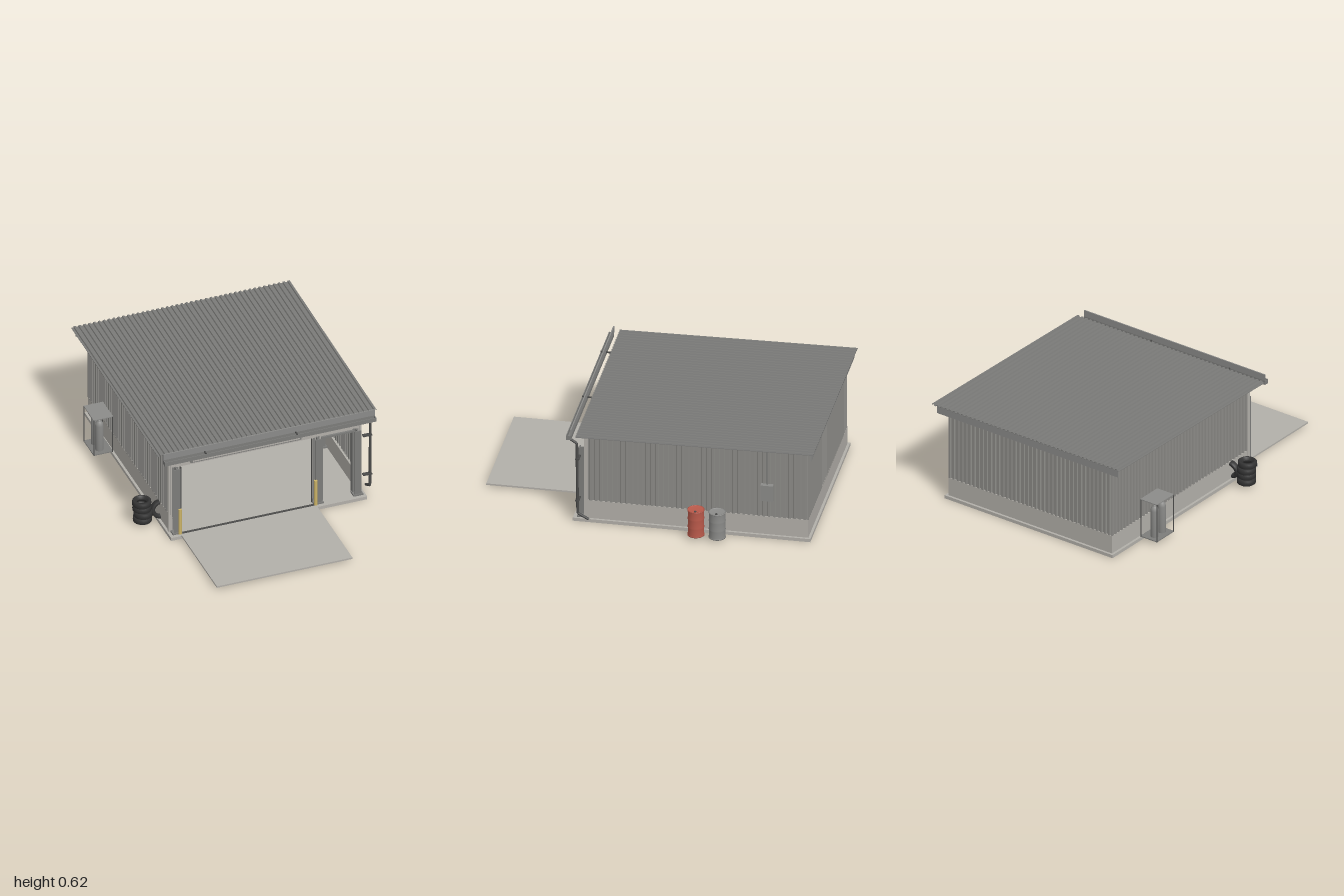
import * as THREE from 'three';

const mat = (name, color, extra = {}) => {
  const m = new THREE.MeshStandardMaterial({ color, ...extra });
  m.name = name;
  return m;
};

export function createModel() {
  const root = new THREE.Group();
  root.name = 'workshop';
  const concrete = mat('concrete', 0xb2afa9);
  const sheet = mat('wall sheet', 0x8c8b87);
  const roofing = mat('roof sheet', 0x7a7a78);
  const steel = mat('steel', 0x7c7c7a);
  const dark = mat('dark steel', 0x4b4b4a);
  const rubber = mat('rubber', 0x333333);
  const red = mat('red paint', 0xb9594a);
  const yellow = mat('yellow paint', 0xccb468);
  const grey = mat('grey paint', 0x8b8b89);

  const add = (name, geo, m, parent = root) => {
    const mesh = new THREE.Mesh(geo, m);
    mesh.name = name;
    parent.add(mesh);
    return mesh;
  };
  // box given by its limits on each axis
  const box = (name, m, x0, x1, y0, y1, z0, z1, parent) => {
    const b = add(name, new THREE.BoxGeometry(x1 - x0, y1 - y0, z1 - z0), m, parent);
    b.position.set((x0 + x1) / 2, (y0 + y1) / 2, (z0 + z1) / 2);
    return b;
  };
  const rod = (name, m, r, x, y0, y1, z, parent, sides = 12) => {
    const c = add(name, new THREE.CylinderGeometry(r, r, y1 - y0, sides), m, parent);
    c.position.set(x, (y0 + y1) / 2, z);
    return c;
  };
  // trapezoidal sheet: profile across x, ribs running along z
  const ribbed = (width, length, pitch, depth) => {
    const n = Math.round(width / pitch), p = width / n, pts = [];
    for (let i = 0; i < n; i++) {
      const x = -width / 2 + i * p;
      pts.push([x, 0], [x + p * 0.4, 0], [x + p * 0.5, depth], [x + p * 0.9, depth]);
    }
    pts.push([width / 2, 0]);
    const back = pts.map(([x, y]) => [x, y - 0.003]).reverse();
    const shape = new THREE.Shape([...pts, ...back].map(([x, y]) => new THREE.Vector2(x, y)));
    return new THREE.ExtrudeGeometry(shape, { depth: length, bevelEnabled: false });
  };

  // slab and entrance apron
  const L = -0.585, R = 0.6, F = 0.365, B = -0.955;
  box('floorSlab', concrete, -0.6, 0.615, 0, 0.02, -0.97, 0.43);
  box('apron', concrete, -0.535, 0.305, 0.015, 0.025, 0.43, 1);
  box('thresholdStrip', dark, -0.53, 0.31, 0.02, 0.023, 0.395, 0.41);

  // low concrete walls
  const t = 0.02, top = 0.135;
  box('leftBaseWall', concrete, L, L + t, 0.02, top, B, F);
  box('rightBaseWall', concrete, R - t, R, 0.02, top, B, F);
  box('backBaseWall', concrete, L + t, R - t, 0.02, top, B, B + t);

  // ribbed wall cladding
  const cladding = (name, width, x, z, turn) => {
    const g = ribbed(width, 0.565 - top, 0.03, 0.008);
    g.rotateX(-Math.PI / 2);
    const w = add(name, g, sheet);
    w.position.set(x, top, z);
    w.rotation.y = turn;
  };
  cladding('leftCladding', F - B, L + 0.006, (F + B) / 2, Math.PI / 2);
  cladding('rightCladding', F - B, R - 0.006, (F + B) / 2, -Math.PI / 2);
  cladding('backCladding', R - L, (L + R) / 2, B + 0.006, 0);

  // front wall with vehicle opening and doorway
  box('frontHeader', concrete, -0.59, 0.605, 0.46, 0.57, F - 0.02, F);
  box('leftPier', concrete, -0.59, -0.545, 0.02, 0.46, F - 0.02, F);
  box('middlePier', concrete, 0.315, 0.352, 0.02, 0.46, F - 0.02, F);
  box('rightPier', concrete, 0.56, 0.605, 0.02, 0.46, F - 0.02, F);
  box('signFrame', steel, -0.455, 0.23, 0.472, 0.55, F, F + 0.008);
  box('signPanel', concrete, -0.445, 0.22, 0.48, 0.545, F + 0.006, F + 0.012);
  for (const x of [0.352, 0.545]) box('doorJamb', steel, x, x + 0.01, 0.02, 0.455, F - 0.025, F + 0.008);
  box('doorLintel', steel, 0.352, 0.555, 0.445, 0.457, F - 0.025, F + 0.008);

  // I-section columns, flanges facing front and back
  const column = (x, z, y1) => {
    const g = new THREE.Group();
    g.name = 'column';
    root.add(g);
    for (const s of [-1, 1]) box('flange', steel, x - 0.02, x + 0.02, 0.02, y1, z + s * 0.018 - 0.003, z + s * 0.018 + 0.003, g);
    box('web', steel, x - 0.003, x + 0.003, 0.02, y1, z - 0.018, z + 0.018, g);
    box('basePlate', steel, x - 0.03, x + 0.03, 0.02, 0.03, z - 0.027, z + 0.027, g);
  };
  for (const x of [-0.55, 0.325, 0.57]) column(x, F + 0.015, 0.465);
  for (const z of [-0.15, -0.55, -0.92]) {
    for (const x of [L + 0.05, R - 0.05]) column(x, z, 0.55);
    box('rafter', steel, L + 0.01, R - 0.01, 0.53, 0.575, z - 0.012, z + 0.012);
  }
  // yellow guards beside the vehicle opening
  for (const x of [-0.535, 0.305]) rod('guardPost', yellow, 0.01, x, 0.02, 0.19, 0.405);
  for (const x of [-0.522, 0.292]) box('openingTrim', dark, x, x + 0.006, 0.02, 0.46, F, F + 0.01);

  // roof, purlins and edge boards
  const roof = add('roof', ribbed(1.355, 1.4, 0.03, 0.008), roofing);
  roof.position.set(0.0075, 0.607, -1);
  roof.rotation.x = 0.0157;
  [0.24, 0.03, -0.18, -0.4, -0.62, -0.83].forEach((z) => {
    const y = 0.59 - (z - 0.4) * 0.0157;
    box('purlin', steel, -0.6, 0.615, y - 0.028, y - 0.006, z - 0.004, z + 0.004);
  });
  box('backFascia', grey, -0.65, 0.66, 0.553, 0.602, -0.985, -0.978);
  box('frontFascia', grey, -0.65, 0.66, 0.578, 0.617, 0.43, 0.437);

  // gutter with brackets
  box('gutterBase', steel, -0.65, 0.66, 0.55, 0.554, 0.432, 0.462);
  box('gutterFront', steel, -0.65, 0.66, 0.55, 0.576, 0.458, 0.462);
  box('gutterBack', steel, -0.65, 0.66, 0.55, 0.58, 0.432, 0.436);
  for (const x of [-0.65, 0.656]) box('gutterEnd', steel, x, x + 0.004, 0.55, 0.575, 0.432, 0.462);
  for (const x of [-0.395, 0.17]) box('gutterBracket', dark, x - 0.004, x + 0.004, 0.574, 0.582, 0.36, 0.462);

  // downpipe
  const path = new THREE.CurvePath();
  const bends = [[0.455, 0.56], [0.4, 0.525], [0.395, 0.07], [0.33, 0.035]].map(([z, y]) => new THREE.Vector3(0.645, y, z));
  for (let i = 0; i < 3; i++) path.add(new THREE.LineCurve3(bends[i], bends[i + 1]));
  add('downpipe', new THREE.TubeGeometry(path, 60, 0.008, 10), dark);
  for (const y of [0.15, 0.42]) box('pipeClip', dark, 0.6, 0.655, y, y + 0.008, 0.385, 0.408);

  // electrical box and conduit
  box('electricalBox', grey, 0.6, 0.63, 0.25, 0.35, -0.752, -0.678);
  rod('conduit', steel, 0.004, 0.61, 0.35, 0.57, -0.715);

  // drums with rolled rims and hoops
  const drum = (m, x, z) => {
    const r = 0.05, hoop = (y) => [[r - 0.003, y - 0.004], [r, y], [r - 0.003, y + 0.004]];
    const prof = [[0, 0], [r, 0], [r, 0.006], [r - 0.003, 0.007], ...hoop(0.055), ...hoop(0.11),
      [r - 0.003, 0.158], [r, 0.159], [r, 0.165], [r - 0.004, 0.165], [r - 0.005, 0.16], [0, 0.16]];
    const d = add('drum', new THREE.LatheGeometry(prof.map(([a, b]) => new THREE.Vector2(a, b)), 24), m);
    d.position.set(x, 0.023, z);
    rod('drumCap', dark, 0.007, x + 0.025, 0.182, 0.187, z);
  };
  drum(red, 0.687, -0.31);
  drum(grey, 0.694, -0.437);

  // tyres: one stack and one standing
  const tyre = () => {
    const prof = [[0.03, 0], [0.036, -0.018], [0.048, -0.019], [0.055, -0.014], [0.056, 0],
      [0.055, 0.014], [0.048, 0.019], [0.036, 0.018], [0.03, 0]];
    return add('tyre', new THREE.LatheGeometry(prof.map(([a, b]) => new THREE.Vector2(a, b)), 24), rubber);
  };
  [[-0.69, 0], [-0.687, 0.004], [-0.692, -0.003], [-0.695, 0.002]].forEach(([x, dz], i) =>
    tyre().position.set(x, 0.04 + i * 0.037, 0.2 + dz));
  const standing = tyre();
  standing.position.set(-0.582, 0.077, 0.2);
  standing.rotation.set(Math.PI / 2 - 0.2, 0, 0);

  // gas bottle cage
  const cage = new THREE.Group();
  cage.name = 'gasCage';
  root.add(cage);
  box('cageFloor', steel, -0.712, -0.592, 0.02, 0.026, -0.692, -0.528, cage);
  box('cageRoof', grey, -0.712, -0.592, 0.262, 0.267, -0.692, -0.528, cage);
  for (const x of [-0.71, -0.596]) for (const z of [-0.69, -0.53]) rod('cagePost', dark, 0.003, x, 0.02, 0.265, z, cage, 8);
  const bottle = [[0, 0], [0.024, 0], [0.024, 0.17], [0.021, 0.186], [0.013, 0.197], [0.008, 0.2], [0.008, 0.21], [0, 0.21]];
  for (const z of [-0.645, -0.575]) {
    add('gasBottle', new THREE.LatheGeometry(bottle.map(([a, b]) => new THREE.Vector2(a, b)), 20), grey, cage)
      .position.set(-0.66, 0.024, z);
  }

  // fire extinguisher on the inner left wall
  rod('extinguisher', red, 0.012, -0.535, 0.18, 0.265, 0.19);
  rod('extinguisherValve', dark, 0.005, -0.535, 0.265, 0.282, 0.19);
  box('extinguisherBracket', dark, -0.572, -0.54, 0.215, 0.225, 0.182, 0.198);
  return root;
}
